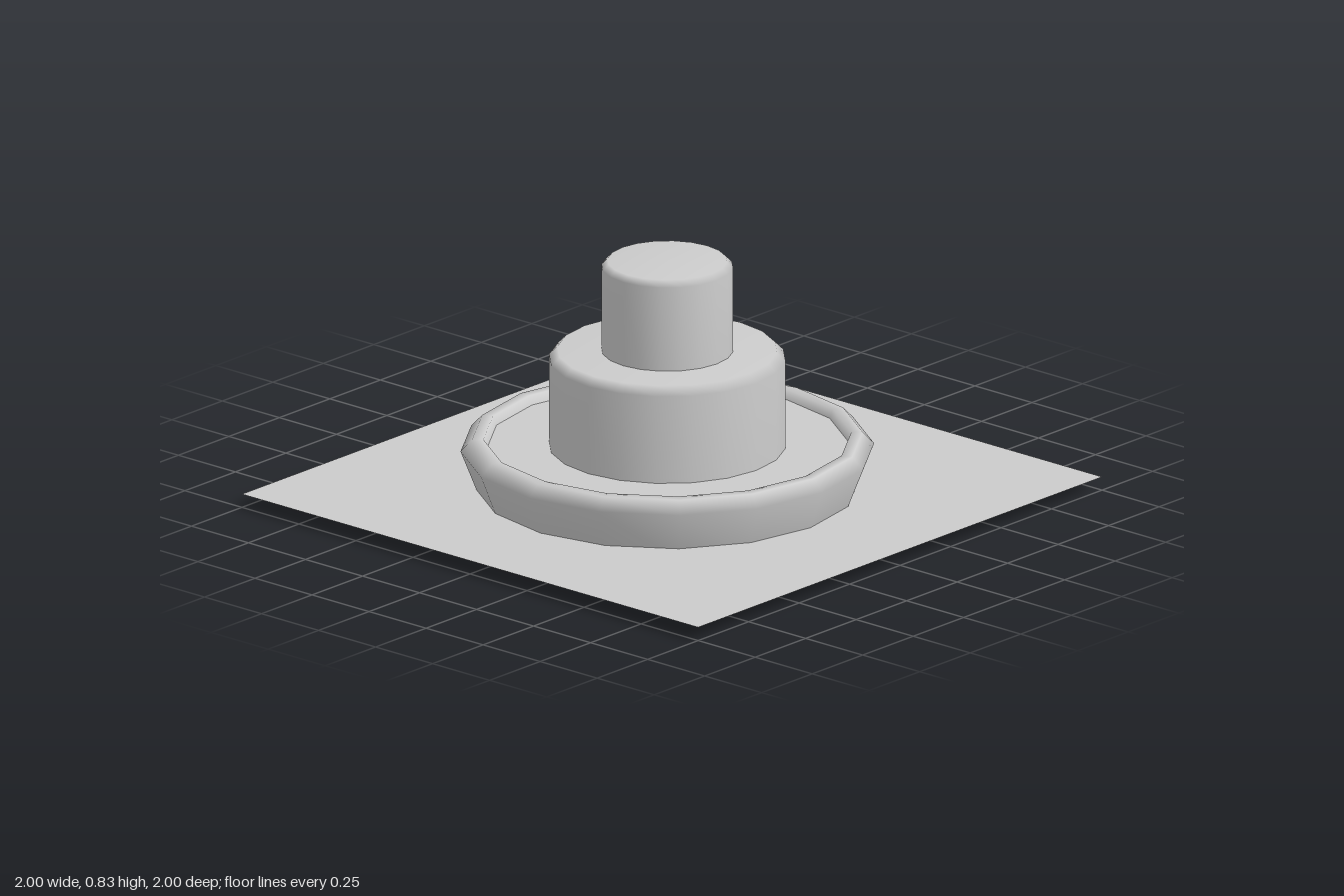
import * as THREE from 'three';

const GROUND_Y = 0.046;
const material = new THREE.MeshStandardMaterial({ color: 0xcccccc, side: THREE.DoubleSide });

// Revolves a [radius, height] profile into a named mesh.
function turned(name, profile, sides) {
  const points = profile.map(([r, y]) => new THREE.Vector2(r, y));
  const mesh = new THREE.Mesh(new THREE.LatheGeometry(points, sides), material);
  mesh.name = name;
  return mesh;
}

// Round drum with a small softened top edge.
function drum(name, radius, bottom, top, bevel) {
  return turned(name, [
    [0, bottom], [radius - 0.01, bottom], [radius, bottom], [radius, bottom + 0.01],
    [radius, top - bevel], [radius - bevel, top], [0, top],
  ], 20);
}

export function createModel() {
  const model = new THREE.Group();
  model.name = 'fountain';

  // Flat square of ground, a little above the foot of the basin
  const ground = new THREE.Mesh(new THREE.PlaneGeometry(2, 2).rotateX(-Math.PI / 2), material);
  ground.name = 'groundPlane';
  ground.position.y = GROUND_Y;
  model.add(ground);

  // The fountain stands slightly off the middle of the ground
  const fountain = new THREE.Group();
  fountain.name = 'fountainBody';
  fountain.position.set(-0.013, 0, -0.009);
  model.add(fountain);

  // Flared sixteen-sided basin wall, open underneath
  fountain.add(turned('basinRim', [
    [0.61, 0], [0.68, 0.18], [0.642, 0.22], [0.605, 0.22], [0.593, 0.19],
  ], 16));

  // Shallow floor just below the rim
  fountain.add(turned('basinFloor', [[0.593, 0.19], [0, 0.19]], 16));

  // Stepped centre column
  fountain.add(drum('lowerTier', 0.39, GROUND_Y, 0.52, 0.028));
  fountain.add(drum('upperTier', 0.217, 0.5, 0.83, 0.02));

  return model;
}
